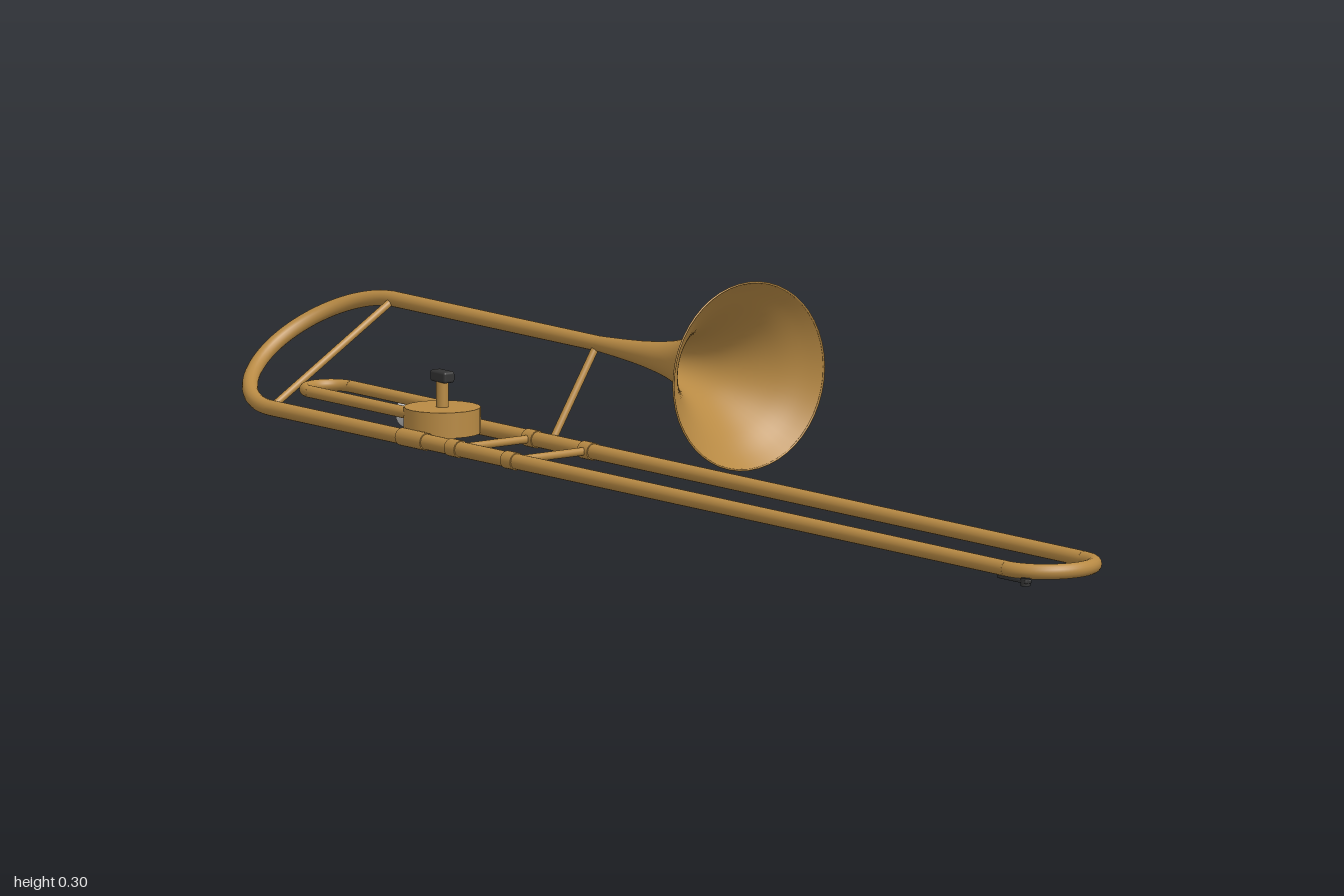
import * as THREE from 'three';
import { RoundedBoxGeometry } from 'three/addons/geometries/RoundedBoxGeometry.js';

const brass = new THREE.MeshStandardMaterial({ color: 0xb88a44, side: THREE.DoubleSide });
const silver = new THREE.MeshStandardMaterial({ color: 0xcccccc, side: THREE.DoubleSide });
const black = new THREE.MeshStandardMaterial({ color: 0x333333 });

const V = (x, y, z) => new THREE.Vector3(x, y, z);

export function createModel() {
  const model = new THREE.Group();
  const R = 0.0116; // main tubing radius
  const Y = 0.0265; // height of the slide plane
  const BELL = { y: 0.165, z: -0.049 };
  const LEAD = { y: Y, z: 0.036 };
  const OUTER = { y: Y, z: 0.178 };

  function add(name, geometry, material = brass) {
    const mesh = new THREE.Mesh(geometry, material);
    mesh.name = name;
    model.add(mesh);
    return mesh;
  }

  // Straight rod between two points
  function rod(name, a, b, r, material, open = false) {
    const d = b.clone().sub(a);
    const mesh = add(name, new THREE.CylinderGeometry(r, r, d.length(), 20, 1, open), material);
    mesh.position.copy(a).add(b).multiplyScalar(0.5);
    mesh.quaternion.setFromUnitVectors(V(0, 1, 0), d.normalize());
    return mesh;
  }

  // Rod along x on a given tube axis
  const pipe = (name, axis, x0, x1, r = R, open = false) =>
    rod(name, V(x0, axis.y, axis.z), V(x1, axis.y, axis.z), r, brass, open);

  // Half-circle bend joining two tube axes, bulging along x
  function bow(name, a, b, x, dir, r = R) {
    const A = V(x, a.y, a.z), B = V(x, b.y, b.z);
    const ax = A.clone().sub(B);
    const radius = ax.length() / 2;
    ax.normalize();
    const ay = V(dir, 0, 0);
    const geo = new THREE.TorusGeometry(radius, r, 16, 40, Math.PI);
    geo.applyMatrix4(new THREE.Matrix4().makeBasis(ax, ay, ax.clone().cross(ay)));
    add(name, geo).position.copy(A.add(B).multiplyScalar(0.5));
  }

  // Surface of revolution along x, from [x, radius] points
  function turned(name, points, axis, material) {
    const geo = new THREE.LatheGeometry(points.map(([x, r]) => new THREE.Vector2(r, x)), 48);
    geo.rotateZ(-Math.PI / 2);
    add(name, geo, material).position.set(0, axis.y, axis.z);
  }

  // Bell flare and rim
  const flare = new THREE.SplineCurve([
    [-0.36, 0.0116], [-0.3, 0.015], [-0.24, 0.02], [-0.18, 0.029], [-0.13, 0.044],
    [-0.09, 0.065], [-0.05, 0.094], [-0.02, 0.122], [0, 0.1395],
  ].map(([x, r]) => new THREE.Vector2(x, r))).getPoints(40).map((p) => [p.x, p.y]);
  turned('bell', flare, BELL, brass);
  const rim = add('bellRim', new THREE.TorusGeometry(0.139, 0.0015, 8, 48));
  rim.rotation.y = Math.PI / 2;
  rim.position.set(-0.001, BELL.y, BELL.z);

  // Main tubing
  const bendX = -0.855, slideX = 0.917;
  pipe('bellTube', BELL, bendX, -0.355, R, true);
  bow('tuningBow', BELL, OUTER, bendX, -1);
  pipe('outerSlideTube', OUTER, bendX, slideX);
  pipe('leadPipe', LEAD, -0.63, slideX);
  bow('slideBow', LEAD, OUTER, slideX, 1);

  // Ferrules where braces and valve meet the tubing
  for (const x of [-0.41, -0.275])
    for (const axis of [LEAD, OUTER]) pipe('ferrule', axis, x - 0.012, x + 0.012, 0.0132);
  pipe('valveFerrule', OUTER, -0.54, -0.48, 0.0132);

  // Braces
  for (const x of [-0.41, -0.275])
    rod('slideBrace', V(x, Y, LEAD.z), V(x, Y, OUTER.z), 0.006);
  rod('bowBrace', V(bendX, BELL.y, BELL.z), V(bendX, OUTER.y, OUTER.z), 0.0055);
  rod('bellBrace', V(-0.365, BELL.y, BELL.z), V(-0.365, LEAD.y, LEAD.z), 0.0055);

  // Rotary valve with stem and thumb key
  const vx = -0.517, vz = 0.121;
  rod('valveBody', V(vx, 0.03, vz), V(vx, 0.068, vz), 0.0565);
  rod('valveStem', V(vx, 0.066, vz), V(vx, 0.108, vz), 0.009);
  add('thumbKey', new RoundedBoxGeometry(0.037, 0.017, 0.02, 2, 0.004), black)
    .position.set(vx, 0.1135, vz);

  // Attachment loop running back from the valve
  const near = { y: 0.058, z: vz + 0.0375 }, far = { y: 0.058, z: vz - 0.0375 };
  for (const axis of [near, far]) pipe('loopTube', axis, -0.785, -0.53, 0.009);
  bow('loopBow', near, far, -0.785, -1, 0.009);

  // Mouthpiece with hollow cup
  turned('mouthpiece', [
    [-0.675, 0], [-0.685, 0.011], [-0.705, 0.019], [-0.71, 0.022], [-0.709, 0.0245],
    [-0.703, 0.025], [-0.698, 0.0225], [-0.675, 0.018], [-0.655, 0.0135], [-0.615, 0.0122], [-0.615, 0],
  ], LEAD, silver);

  // Water key under the slide bow
  add('waterKey', new RoundedBoxGeometry(0.07, 0.006, 0.012, 2, 0.002), black)
    .position.set(0.93, 0.013, 0.175);
  rod('waterKeyPad', V(0.957, 0.006, 0.175), V(0.957, 0.018, 0.175), 0.007, black);

  return model;
}
